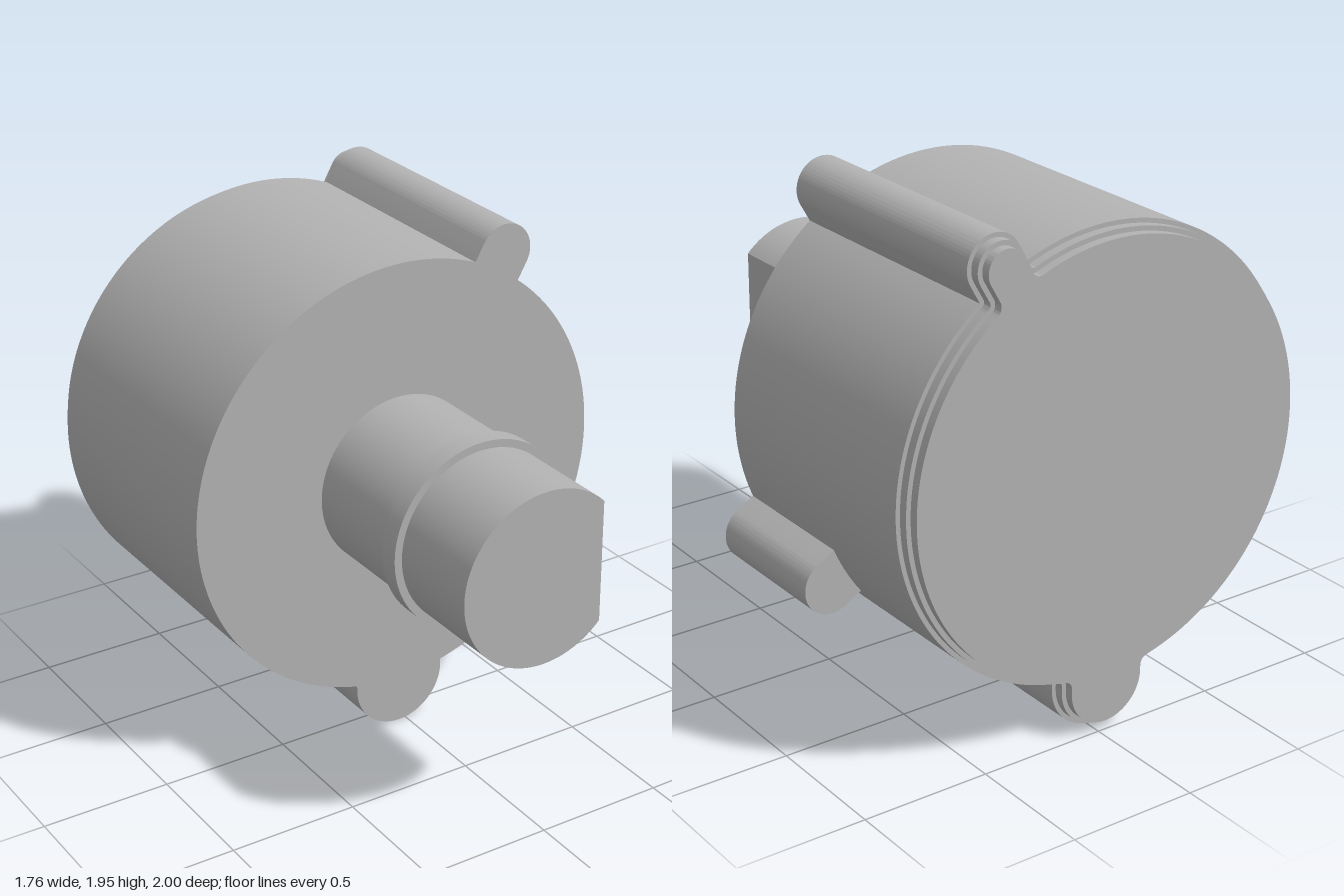
import * as THREE from 'three';
import { toCreasedNormals } from 'three/addons/utils/BufferGeometryUtils.js';

const CX = -0.03, CY = 1.04, R = 0.85; // housing axis and radius
const HALF = Math.PI / 2;
const rad = THREE.MathUtils.degToRad;

// Lugs on the rim: direction, distance of the rounded end from the axis, half width
const bottomLug = { a: rad(-90), dist: 0.85, w: 0.19 };
const topLug = { a: rad(60), dist: 0.918, w: 0.11 };
const sideLug = { a: rad(-30), dist: 0.918, w: 0.11 };

const polar = (r, a) => [r * Math.cos(a), r * Math.sin(a)];

// Round outline with lugs, moved inwards by d, inner corners rounded by d
function housingOutline(lugs, d) {
  const shape = new THREE.Shape();
  lugs.forEach(({ a, dist, w }, i) => {
    const h = Math.asin(w / R);
    if (d > 0) shape.absarc(...polar(R, a - h), d, a - h + Math.PI, a + HALF, true);
    shape.absarc(...polar(dist, a), w - d, a - HALF, a + HALF, false);
    if (d > 0) shape.absarc(...polar(R, a + h), d, a - HALF, a + h - Math.PI, true);
    const next = lugs[(i + 1) % lugs.length];
    const end = next.a - Math.asin(next.w / R) + (i === lugs.length - 1 ? 2 * Math.PI : 0);
    shape.absarc(0, 0, R - d, a + h, end, false);
  });
  return shape;
}

// Lug whose root follows the housing wall
function lugOutline({ a, dist, w }) {
  const h = Math.asin(w / R);
  const shape = new THREE.Shape();
  shape.absarc(...polar(dist, a), w, a - HALF, a + HALF, false);
  shape.absarc(0, 0, R, a + h, a - h, true);
  return shape;
}

// Shaft section with one flat at x = flat
function shaftOutline(r, flat) {
  const t = Math.acos(flat / r);
  const shape = new THREE.Shape();
  shape.absarc(0, 0, r, t, 2 * Math.PI - t, false);
  return shape;
}

export function createModel() {
  const group = new THREE.Group();
  const grey = new THREE.MeshStandardMaterial({ color: 0xb2b2b2 });
  grey.name = 'grey';

  function addExtrusion(name, shape, z0, z1) {
    const geo = new THREE.ExtrudeGeometry(shape, { depth: z1 - z0, bevelEnabled: false, curveSegments: 48 });
    const mesh = new THREE.Mesh(toCreasedNormals(geo, 0.5), grey);
    mesh.name = name;
    mesh.position.set(CX, CY, z0);
    group.add(mesh);
  }

  // Housing with two stepped rims at the back
  const lugs = [bottomLug, topLug];
  addExtrusion('housing', housingOutline(lugs, 0), -0.93, 0.09);
  addExtrusion('rearStepOuter', housingOutline(lugs, 0.017), -0.965, -0.93);
  addExtrusion('rearStepInner', housingOutline(lugs, 0.035), -1, -0.965);

  // Short lug at the side
  addExtrusion('sideLug', lugOutline(sideLug), -0.45, 0.09);

  // Flatted shaft and its collar
  addExtrusion('shaft', shaftOutline(0.335, 0.24), 0.09, 1);
  const collar = new THREE.Mesh(new THREE.CylinderGeometry(0.365, 0.365, 0.08, 96), grey);
  collar.name = 'collar';
  collar.rotation.x = HALF;
  collar.position.set(CX, CY, 0.58);
  group.add(collar);

  return group;
}
